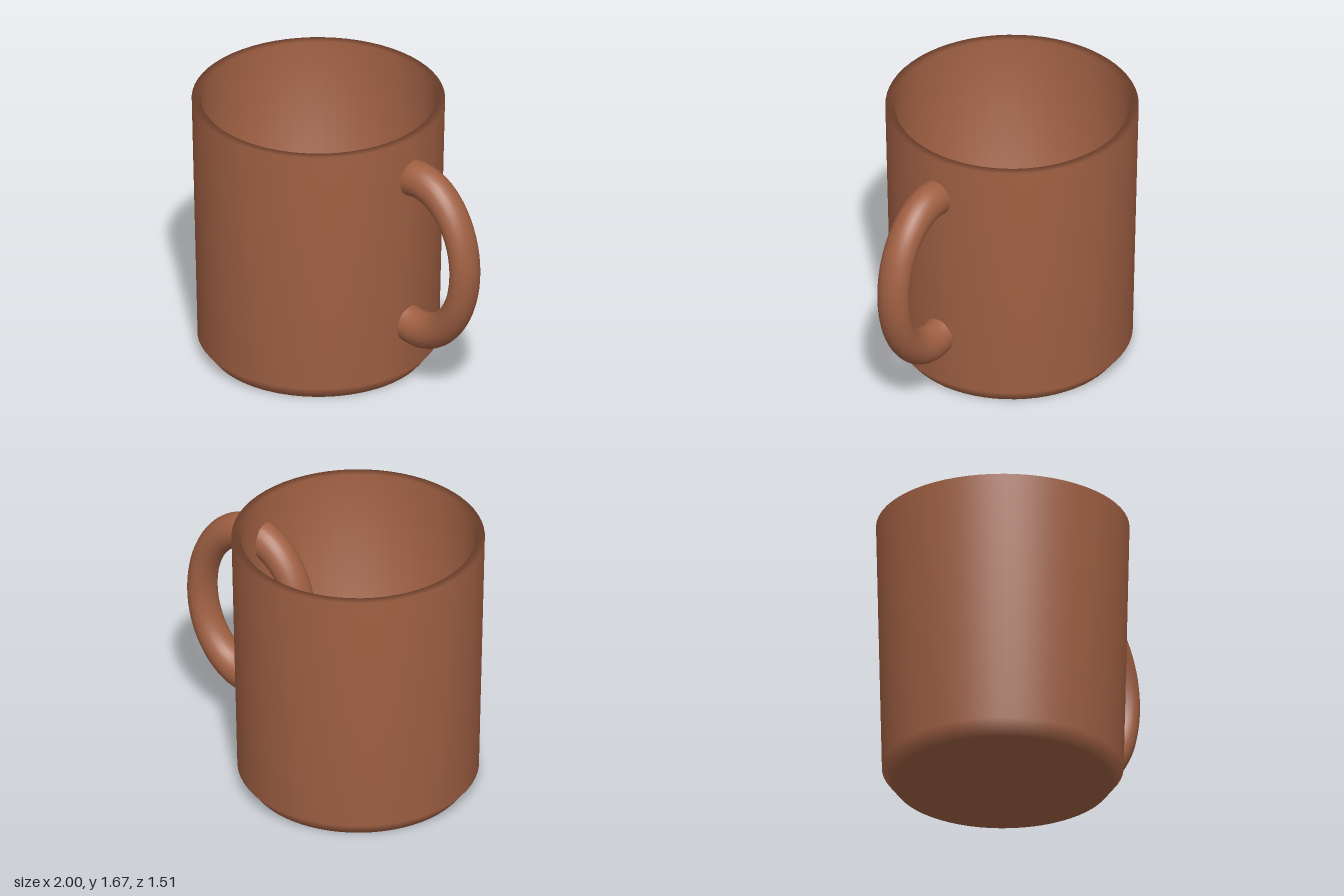
import * as THREE from 'three';

export function createModel() {
  const model = new THREE.Group();
  model.name = 'mug';

  const clay = new THREE.MeshStandardMaterial({ color: 0xa06043 });
  clay.name = 'brown clay';

  // Hollow cup: chamfered foot, slightly flared wall, flat rim, inner wall and floor
  const profile = [
    [0, 0], [0.65, 0], [0.72, 0.09], [0.755, 1.675],
    [0.7, 1.675], [0.68, 0.1], [0, 0.1],
  ].map(([r, y]) => new THREE.Vector2(r, y));
  const cup = new THREE.Mesh(new THREE.LatheGeometry(profile, 64), clay);
  cup.name = 'cup';
  cup.position.x = -0.245;
  model.add(cup);

  // Oval ring handle, passing through the wall
  const ring = new THREE.TorusGeometry(0.504, 0.113, 24, 64);
  ring.scale(0.73, 1, 0.92);
  const handle = new THREE.Mesh(ring, clay);
  handle.name = 'handle';
  handle.position.set(0.55, 0.902, 0);
  model.add(handle);

  return model;
}
